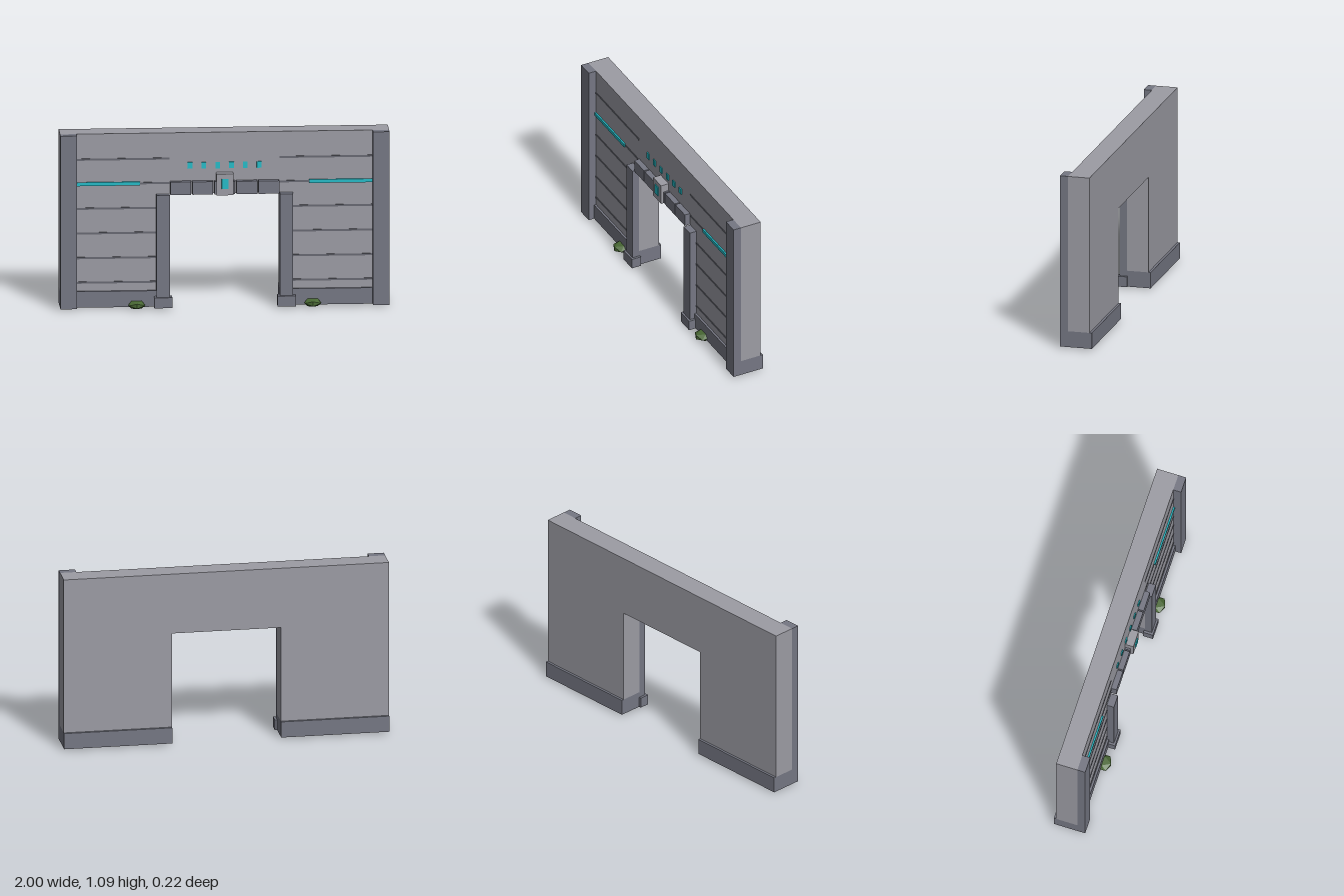
import * as THREE from 'three';

function material(name, color) {
  const m = new THREE.MeshStandardMaterial({ color });
  m.name = name;
  return m;
}

export function createModel() {
  const group = new THREE.Group();
  const wall = material('paleStone', 0x9c9ca4);
  const trim = material('darkStone', 0x757783);
  const seam = material('seamGrey', 0x676872);
  const glow = material('cyanLight', 0x22bcc8);
  const moss = material('mossGreen', 0x486733);

  // Box given by its minimum and maximum on each axis
  function box(name, mat, x0, x1, y0, y1, z0, z1) {
    const mesh = new THREE.Mesh(new THREE.BoxGeometry(x1 - x0, y1 - y0, z1 - z0), mat);
    mesh.position.set((x0 + x1) / 2, (y0 + y1) / 2, (z0 + z1) / 2);
    mesh.name = name;
    group.add(mesh);
  }
  // The same box on both sides of the gate
  function pair(name, mat, x0, x1, ...rest) {
    box(name + 'Left', mat, x0, x1, ...rest);
    box(name + 'Right', mat, -x1, -x0, ...rest);
  }

  // Wall slab with the gateway cut out, standing on the plinths
  const outline = new THREE.Shape();
  [[-1, 0.11], [-0.335, 0.11], [-0.335, 0.71], [0.335, 0.71], [0.335, 0.11], [1, 0.11], [1, 1.09], [-1, 1.09]]
    .forEach(([x, y], i) => (i ? outline.lineTo(x, y) : outline.moveTo(x, y)));
  const slab = new THREE.Mesh(new THREE.ExtrudeGeometry(outline, { depth: 0.135, bevelEnabled: false }), wall);
  slab.position.z = -0.095;
  slab.name = 'wall';
  group.add(slab);

  // Plinths, corner pilasters and gateway jambs
  pair('plinth', trim, 0.335, 1, 0.01, 0.11, -0.11, 0.053);
  pair('pilaster', trim, 0.9, 1, 0.01, 1.09, 0.04, 0.09);
  pair('jamb', trim, 0.335, 0.415, 0.01, 0.71, 0.04, 0.085);
  pair('jambFoot', trim, 0.32, 0.43, 0.01, 0.075, 0.035, 0.097);

  // Horizontal seams between the panels
  [0.163, 0.316, 0.47, 0.624, 0.778, 0.93].forEach((y, i) => {
    pair('seam' + i, seam, y > 0.71 ? 0.335 : 0.415, 0.9, y - 0.006, y + 0.006, 0.039, 0.043);
  });

  // Lintel blocks and keystone
  for (let i = -2; i <= 2; i++) {
    const x = i * 0.134;
    box('lintelBlock', trim, x - 0.063, x + 0.063, 0.71, 0.79, 0.039, 0.075);
  }
  box('keystone', wall, -0.052, 0.052, 0.708, 0.84, 0.039, 0.092);
  box('keystoneLight', glow, -0.02, 0.02, 0.748, 0.81, 0.091, 0.099);

  // Light strips and the row of small lamps
  pair('lightStrip', glow, 0.515, 0.9, 0.767, 0.789, 0.039, 0.05);
  for (let i = 0; i < 6; i++) {
    const x = (i - 2.5) * 0.084;
    box('lamp', glow, x - 0.014, x + 0.014, 0.866, 0.905, 0.039, 0.047);
  }

  // Faceted moss clumps at the foot of the wall
  for (const side of [-1, 1]) {
    const clump = new THREE.Mesh(new THREE.IcosahedronGeometry(0.058), moss);
    clump.scale.y = 0.49;
    clump.position.set(side * 0.535, 0.0245, 0.056);
    clump.name = side > 0 ? 'mossLeft' : 'mossRight';
    group.add(clump);
  }
  return group;
}
